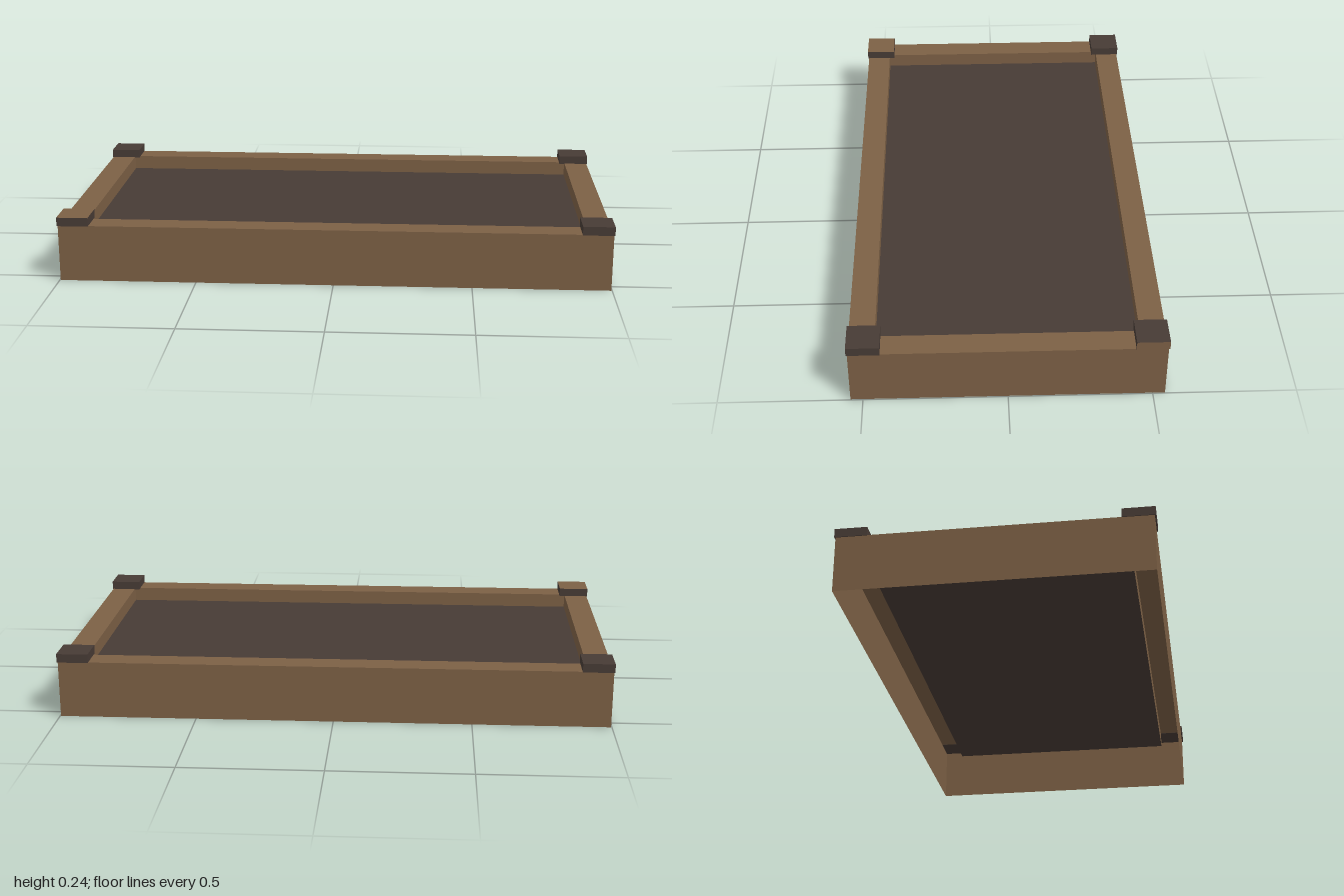
import * as THREE from 'three';

export function createModel() {
  const wood = new THREE.MeshStandardMaterial({ color: 0x7c6045, side: THREE.DoubleSide });
  wood.name = 'wood brown';
  const dark = new THREE.MeshStandardMaterial({ color: 0x473b35, side: THREE.DoubleSide });
  dark.name = 'dark brown';

  const group = new THREE.Group();
  group.name = 'tray';
  const add = (name, geometry, material, x, y, z) => {
    const mesh = new THREE.Mesh(geometry, material);
    mesh.name = name;
    mesh.position.set(x, y, z);
    group.add(mesh);
    return mesh;
  };

  // Frame: hollow shell joining rectangular rings [half width, height, half depth]
  const rings = [
    [0.997, 0, 0.543],
    [0.997, 0.208, 0.543],
    [0.907, 0.208, 0.453],
    [0.907, 0.155, 0.453],
  ];
  const signs = [[-1, 1], [1, 1], [1, -1], [-1, -1]];
  const corner = (ring, i) => {
    const [sx, sz] = signs[i % 4];
    return [sx * ring[0], ring[1], sz * ring[2]];
  };
  const positions = [];
  for (let r = 0; r < rings.length - 1; r++) {
    for (let i = 0; i < 4; i++) {
      const a = corner(rings[r], i), b = corner(rings[r], i + 1);
      const c = corner(rings[r + 1], i + 1), d = corner(rings[r + 1], i);
      positions.push(...a, ...b, ...c, ...a, ...c, ...d);
    }
  }
  const frame = new THREE.BufferGeometry();
  frame.setAttribute('position', new THREE.Float32BufferAttribute(positions, 3));
  frame.computeVertexNormals();
  add('frame', frame, wood, 0, 0, 0);

  // Sunken panel, open underneath
  add('panel', new THREE.PlaneGeometry(1.814, 0.906), dark, 0, 0.155, 0).rotation.x = -Math.PI / 2;

  // Corner caps; two of them have one wood face (box order: +x -x +y -y +z -z)
  const caps = [
    ['frontLeftCap', 1, 1, -1],
    ['frontRightCap', -1, 1, 2],
    ['backLeftCap', 1, -1, 0],
    ['backRightCap', -1, -1, -1],
  ];
  for (const [name, sx, sz, woodFace] of caps) {
    const materials = Array.from({ length: 6 }, (_, i) => (i === woodFace ? wood : dark));
    add(name, new THREE.BoxGeometry(0.114, 0.032, 0.114), materials, sx * 0.943, 0.223, sz * 0.49);
  }
  return group;
}
